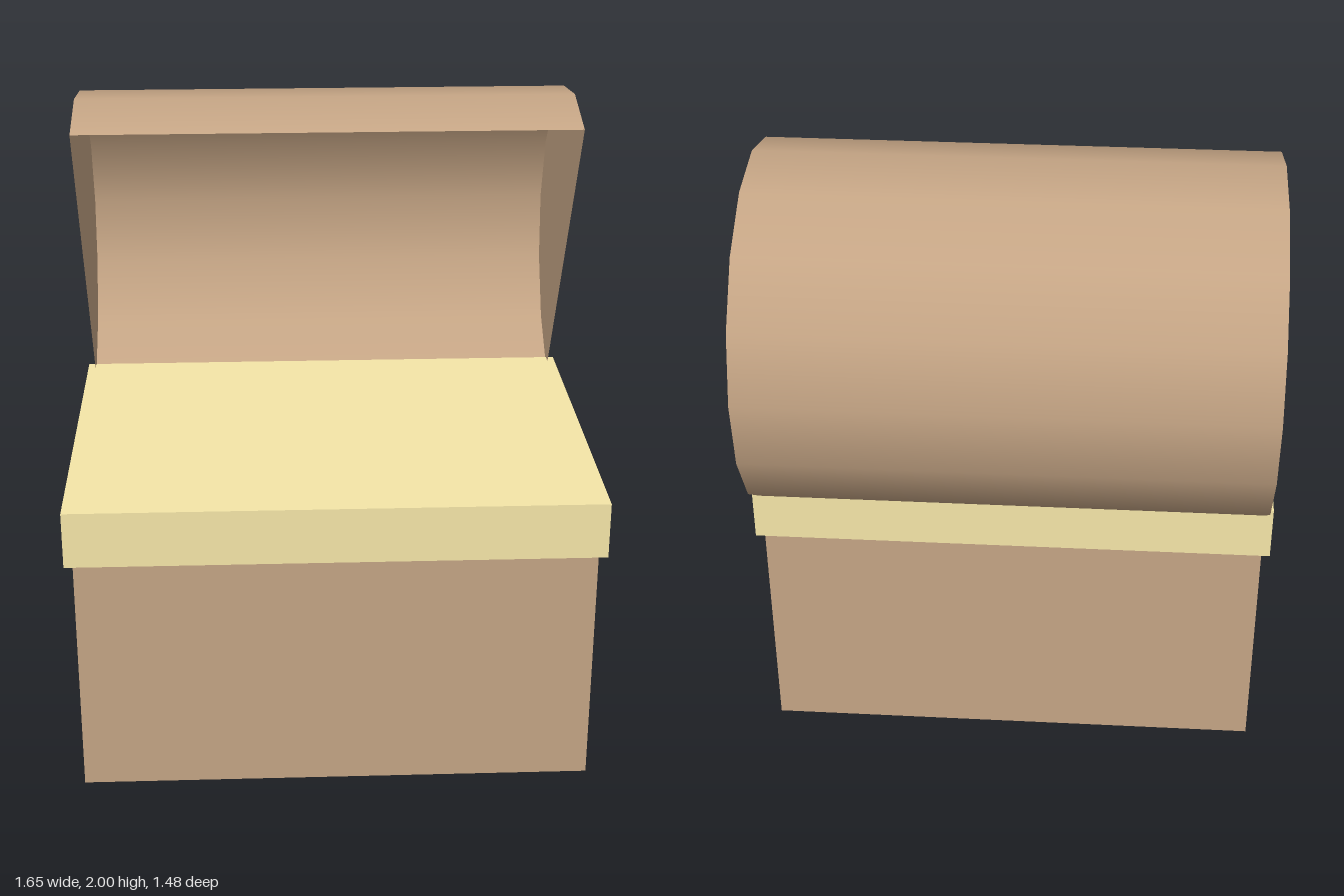
import * as THREE from 'three';

export function createModel() {
  const chest = new THREE.Group();
  chest.name = 'chest';
  const wood = new THREE.MeshStandardMaterial({ color: 0xc4a484 });
  const woodThin = new THREE.MeshStandardMaterial({ color: 0xc4a484, side: THREE.DoubleSide });
  const trim = new THREE.MeshStandardMaterial({ color: 0xf5e6a8 });

  function add(name, geometry, material, x, y, z) {
    const mesh = new THREE.Mesh(geometry, material);
    mesh.name = name;
    mesh.position.set(x, y, z);
    chest.add(mesh);
    return mesh;
  }

  // Box body and the wider rim on top of it
  add('body', new THREE.BoxGeometry(1.6, 0.785, 1.145), wood, 0, 0.3925, 0.147);
  add('rim', new THREE.BoxGeometry(1.65, 0.18, 1.19), trim, 0, 0.873, 0.147);

  // Hollow half-barrel lid, swung open about the back edge
  const openAngle = THREE.MathUtils.degToRad(63.1);
  const lid = new THREE.CylinderGeometry(0.568, 0.568, 1.6, 8, 1, false, openAngle, Math.PI);
  lid.rotateZ(Math.PI / 2);
  add('lid', lid, woodThin, 0, 1.434, -0.17);

  return chest;
}
